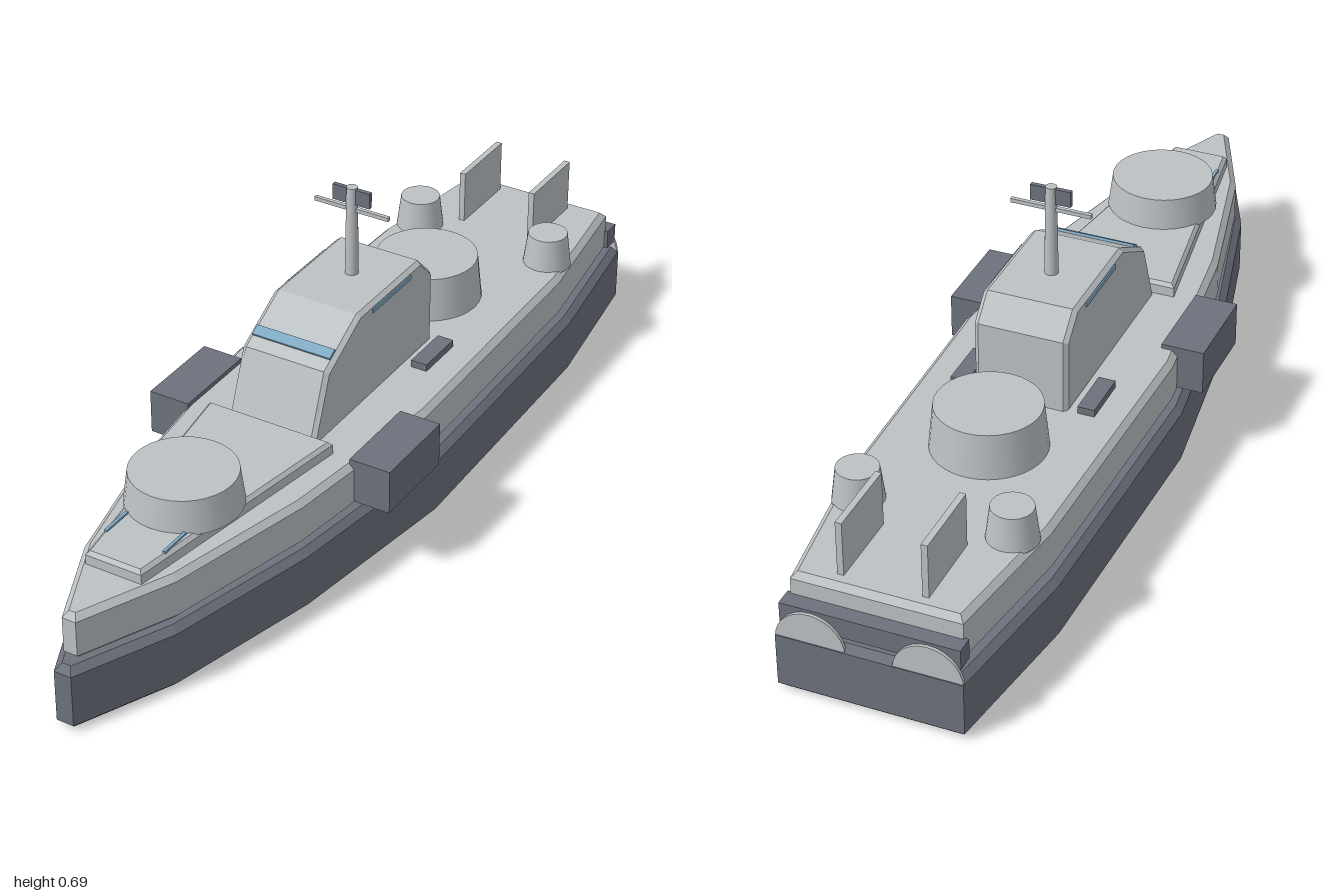
import * as THREE from 'three';

const mat = (name, color) => {
  const m = new THREE.MeshStandardMaterial({ color });
  m.name = name;
  return m;
};

export function createModel() {
  const ship = new THREE.Group();
  ship.name = 'patrolShip';
  const light = mat('light grey', 0xbcc1c4);
  const dark = mat('dark grey', 0x6c717c);
  const glass = mat('blue glass', 0x7fa9c2);

  const add = (name, geo, material, x = 0, y = 0, z = 0) => {
    const m = new THREE.Mesh(geo, material);
    m.name = name;
    m.position.set(x, y, z);
    ship.add(m);
    return m;
  };
  const box = (name, material, size, pos) =>
    add(name, new THREE.BoxGeometry(...size), material, ...pos);

  // Bevelled slab from [half width, z] stations, mirrored across x
  const slab = (name, material, stations, y0, y1, bevel) => {
    const right = stations.map(([x, z]) => new THREE.Vector2(x, -z));
    const left = stations.map(([x, z]) => new THREE.Vector2(-x, -z)).reverse();
    const geo = new THREE.ExtrudeGeometry(new THREE.Shape([...right, ...left]), {
      depth: y1 - y0 - 2 * bevel, bevelEnabled: true, bevelSegments: 1,
      bevelSize: bevel, bevelThickness: bevel, bevelOffset: -bevel,
    });
    geo.rotateX(-Math.PI / 2);
    return add(name, geo, material, 0, y0 + bevel, 0);
  };

  // Hull, upper deck and raised foredeck
  slab('hull', dark, [[0.02, 1], [0.12, 0.78], [0.207, 0.43], [0.265, 0],
    [0.25, -0.65], [0.2, -1]], 0, 0.15, 0.015);
  slab('upperDeck', light, [[0.016, 0.97], [0.11, 0.76], [0.19, 0.42], [0.241, 0],
    [0.228, -0.63], [0.183, -0.957]], 0.153, 0.26, 0.013);
  slab('foredeck', light, [[0.066, 0.818], [0.152, 0.24]], 0.25, 0.29, 0.008);

  // Cabin: side profile in (z, y) extruded across the ship
  const profile = [[0.24, 0.255], [0.182, 0.41], [0.052, 0.482], [-0.205, 0.482],
    [-0.257, 0.43], [-0.257, 0.255]].map(([z, y]) => new THREE.Vector2(-z, y));
  const cabin = new THREE.ExtrudeGeometry(new THREE.Shape(profile), {
    depth: 0.19, bevelEnabled: true, bevelSegments: 1,
    bevelSize: 0.008, bevelThickness: 0.01, bevelOffset: -0.008,
  });
  cabin.translate(0, 0, -0.095);
  cabin.rotateY(Math.PI / 2);
  add('cabin', cabin, light);

  // Windows: windscreen strip lies on the sloped cabin front
  box('windscreen', glass, [0.19, 0.008, 0.024], [0, 0.432, 0.146])
    .rotation.x = Math.atan2(0.072, 0.13);

  // Gun rings
  const drum = (name, r0, r1, y0, y1, x, z) =>
    add(name, new THREE.CylinderGeometry(r1, r0, y1 - y0, 32), light, x, (y0 + y1) / 2, z);
  drum('frontTurret', 0.124, 0.114, 0.285, 0.361, 0, 0.565);
  drum('rearTurret', 0.125, 0.114, 0.255, 0.361, 0, -0.42);

  // Mast with crossbar and radar
  drum('mast', 0.015, 0.012, 0.475, 0.69, 0, -0.09);
  box('crossbar', light, [0.18, 0.009, 0.009], [0, 0.638, -0.09]);
  box('radar', dark, [0.09, 0.036, 0.01], [0, 0.669, -0.09]);

  // Stern beam
  box('sternBeam', dark, [0.384, 0.046, 0.04], [0, 0.188, -0.972]);

  // Paired fittings
  for (const s of [1, -1]) {
    box('sideWindow', glass, [0.008, 0.01, 0.16], [s * 0.104, 0.467, -0.078]);
    box('foredeckRail', glass, [0.007, 0.006, 0.075], [s * 0.069, 0.291, 0.705]);
    box('sideSponson', dark, [0.096, 0.102, 0.21], [s * 0.247, 0.219, 0.147]);
    box('deckLocker', dark, [0.038, 0.025, 0.118], [s * 0.144, 0.264, -0.192]);
    box('aftPanel', light, [0.014, 0.13, 0.178], [s * 0.09, 0.319, -0.835]);
    drum('aftVent', 0.055, 0.045, 0.255, 0.334, s * 0.167, -0.685);
    // Round stern plate standing above the hull edge
    const plate = new THREE.CylinderGeometry(0.075, 0.075, 0.008, 28);
    plate.rotateX(Math.PI / 2);
    add('sternPlate', plate, light, s * 0.125, 0.13, -0.995);
  }
  return ship;
}
